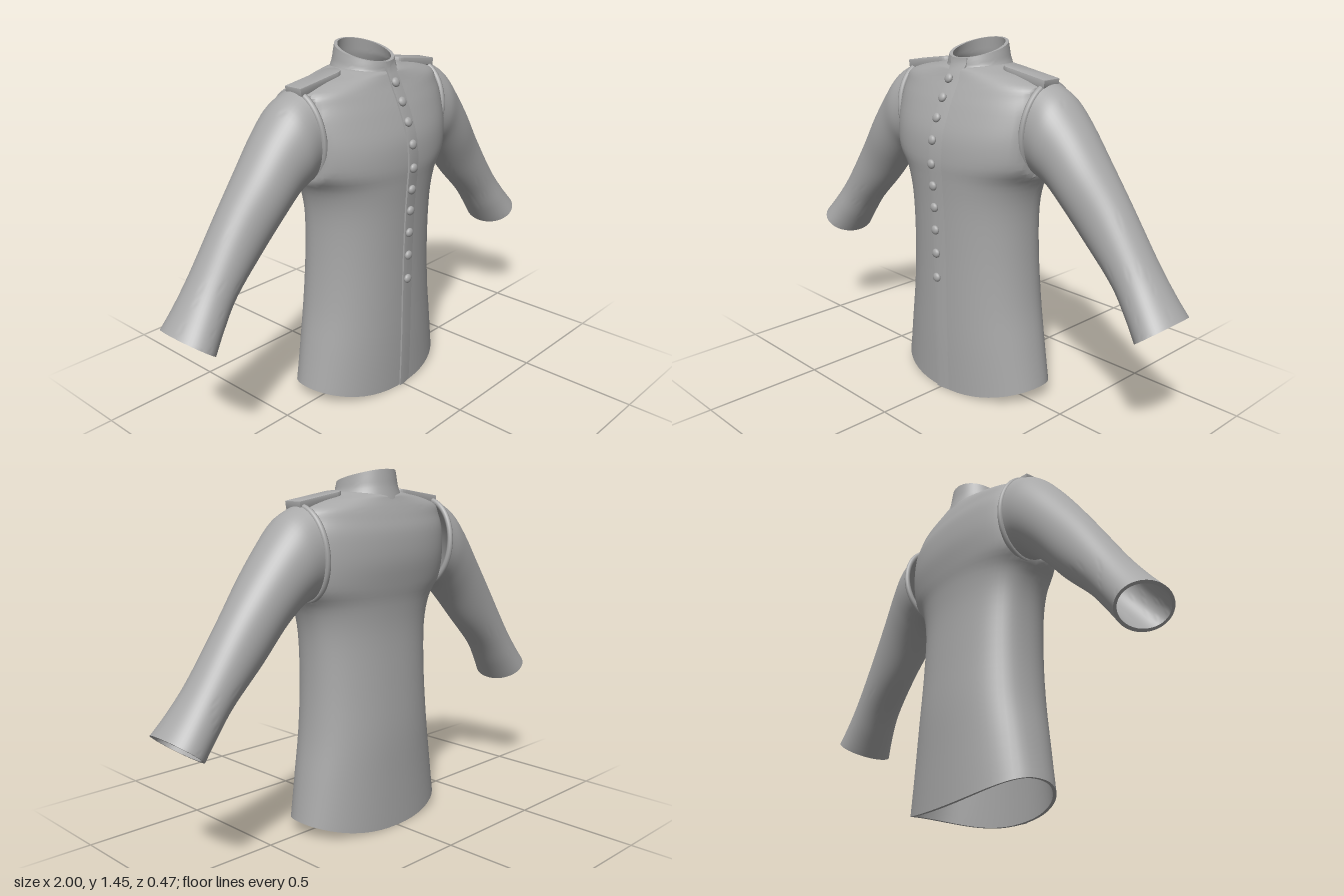
import * as THREE from 'three';
import { toCreasedNormals } from 'three/addons/utils/BufferGeometryUtils.js';

const cloth = new THREE.MeshStandardMaterial({ color: 0xa8a8a8 });
cloth.name = 'grey cloth';

const SEG = 56, ZC = -0.03, WALL = 0.013;
const power = (v, n) => Math.sign(v) * Math.abs(v) ** (2 / n);

// Smoothly resample a table of cross-section numbers, column by column
function dense(rows, steps) {
  const columns = rows[0].map((_, c) => new THREE.SplineCurve(rows.map((r, i) => new THREE.Vector2(i, r[c]))));
  return Array.from({ length: steps + 1 }, (_, i) => columns.map(curve => curve.getPoint(i / steps).y));
}

// Skin a list of closed rings of points
function loft(rings, crease = 0.7) {
  const n = rings[0].length, index = [];
  for (let i = 0; i < rings.length - 1; i++) {
    for (let k = 0; k < n; k++) {
      const a = i * n + k, b = i * n + (k + 1) % n;
      index.push(a, a + n, b, b, a + n, b + n);
    }
  }
  const geometry = new THREE.BufferGeometry().setFromPoints(rings.flat());
  geometry.setIndex(index);
  return toCreasedNormals(geometry.toNonIndexed(), crease);
}

// Rings for the outside, then back along the inside to give the cloth thickness
const shell = (rows, ring) => [
  ...rows.map(r => ring(r, 0)),
  ...[...rows].reverse().map(r => ring(r, WALL)),
  ring(rows[0], 0),
];
const around = fn => Array.from({ length: SEG }, (_, k) => {
  const t = k / SEG * Math.PI * 2;
  return fn(Math.cos(t), Math.sin(t));
});

// Torso: height, half width, front z, back z, lift at the sides
const body = dense([
  [0, 0.365, 0.19, -0.215, 0.06],
  [0.2, 0.335, 0.195, -0.215, 0.03],
  [0.4, 0.307, 0.197, -0.215, 0],
  [0.6, 0.292, 0.2, -0.205, 0],
  [0.8, 0.295, 0.207, -0.195, 0],
  [0.92, 0.325, 0.215, -0.2, 0],
  [1.0, 0.385, 0.22, -0.213, 0],
  [1.1, 0.4, 0.21, -0.225, 0],
  [1.2, 0.4, 0.175, -0.218, 0],
  [1.26, 0.385, 0.148, -0.2, 0],
  [1.3, 0.365, 0.128, -0.185, 0],
  [1.33, 0.27, 0.115, -0.172, 0],
  [1.345, 0.19, 0.108, -0.166, 0],
  [1.35, 0.13, 0.1, -0.16, 0.01],
], 52);
const bodyRing = ([y, w, zf, zb, lift], inset) => around((c, s) => {
  let x = power(c, 2.2) * (w - inset);
  const limit = 0.35 - inset;
  if (y > 0.9) x = THREE.MathUtils.clamp(x, -limit, limit);
  const depth = (s > 0 ? zf - ZC : ZC - zb) - inset;
  return new THREE.Vector3(x, y + lift * c * c, ZC + power(s, 2.2) * depth);
});

// Collar: height, half width, front z, back z, tilt down to the front
const collar = dense([
  [1.33, 0.145, 0.11, -0.172, 0],
  [1.365, 0.124, 0.1, -0.16, 0.012],
  [1.39, 0.117, 0.098, -0.155, 0.02],
  [1.416, 0.111, 0.095, -0.15, 0.03],
], 9);
const collarRing = ([y, w, zf, zb, tilt], inset) => around((c, s) => new THREE.Vector3(
  c * (w - inset), y - tilt * s, ZC + s * ((s > 0 ? zf - ZC : ZC - zb) - inset)));

// Sleeve: upper edge x y, lower edge x y, front z, back z
const sleeve = dense([
  [0.378, 1.314, 0.348, 0.955, 0.095, -0.18],
  [0.45, 1.275, 0.38, 0.945, 0.1, -0.18],
  [0.53, 1.19, 0.42, 0.92, 0.09, -0.172],
  [0.62, 1.075, 0.49, 0.855, 0.08, -0.16],
  [0.73, 0.925, 0.59, 0.745, 0.06, -0.15],
  [0.86, 0.735, 0.72, 0.62, 0.058, -0.145],
  [0.94, 0.63, 0.8, 0.52, 0.075, -0.15],
  [1.0, 0.56, 0.855, 0.445, 0.095, -0.158],
], 35);
const sleeveRing = side => ([ux, uy, lx, ly, zf, zb], inset) => {
  const dx = (ux - lx) / 2, dy = (uy - ly) / 2, shrink = 1 - inset / Math.hypot(dx, dy);
  return around((c, s) => new THREE.Vector3(
    side * ((ux + lx) / 2 + c * dx * shrink),
    (uy + ly) / 2 + c * dy * shrink,
    (zf + zb) / 2 - side * s * ((zf - zb) / 2 - inset)));
};

// Depth of the front surface at a given place
const frontRows = [...body.filter(r => r[0] < 1.34), [1.36, 0.124, 0.1], [1.4, 0.115, 0.096]];
function frontZ(x, y) {
  const i = Math.max(1, frontRows.findIndex(r => r[0] >= y));
  const [a, b] = [frontRows[i - 1], frontRows[i]];
  const t = (y - a[0]) / (b[0] - a[0]);
  const w = a[1] + (b[1] - a[1]) * t, zf = a[2] + (b[2] - a[2]) * t;
  return ZC + (zf - ZC) * (1 - Math.abs(x / w) ** 2.2) ** (1 / 2.2);
}

export function createModel() {
  const model = new THREE.Group();
  model.name = 'jacket';
  const add = (name, geometry) => {
    const mesh = new THREE.Mesh(geometry, cloth);
    mesh.name = name;
    model.add(mesh);
    return mesh;
  };

  add('torso', loft(shell(body, bodyRing)));
  add('collar', loft(shell(collar, collarRing)));

  // Overlapping front edge, fading into the cloth on the left
  const section = [[0.05, -0.01], [0.05, -0.001], [0, 0.007], [-0.02, 0.007], [-0.02, -0.01]];
  const STEPS = 60;
  add('frontPlacket', loft(Array.from({ length: STEPS + 3 }, (_, i) => {
    const y = 0.001 + 1.386 * THREE.MathUtils.clamp((i - 1) / STEPS, 0, 1);
    const end = i === 0 || i === STEPS + 2;
    return section.map(([x, out]) => new THREE.Vector3(x, y, frontZ(x, y) + (end ? -0.01 : out)));
  }), 0.5));

  // Row of domed buttons, each facing out along the chest
  for (const y of [1.31, 1.24, 1.165, 1.08, 0.985, 0.895, 0.805, 0.71, 0.61, 0.505]) {
    const button = add('button', new THREE.SphereGeometry(0.019, 16, 10));
    const slope = (frontZ(0, y + 0.02) - frontZ(0, y - 0.02)) / 0.04;
    button.scale.z = 0.65;
    button.rotation.x = Math.atan(slope);
    button.position.set(0, y, frontZ(0, y) + 0.012);
  }

  for (const side of [1, -1]) {
    const label = side > 0 ? 'left' : 'right';
    add(label + 'Sleeve', loft(shell(sleeve, sleeveRing(side))));

    // Raised seam around the armhole
    const seamPath = sleeveRing(side)(sleeve[0], 0.002);
    seamPath.forEach(p => { p.x -= side * 0.014; });
    add(label + 'ArmholeSeam', new THREE.TubeGeometry(
      new THREE.CatmullRomCurve3(seamPath, true), 72, 0.012, 8, true));

    // Shoulder strap with a rounded inner end
    const strap = new THREE.Shape();
    strap.moveTo(0.19, -0.038);
    strap.lineTo(0, -0.038);
    strap.absarc(0, 0, 0.038, -Math.PI / 2, Math.PI / 2, true);
    strap.lineTo(0.19, 0.038);
    const geometry = new THREE.ExtrudeGeometry(strap, {
      depth: 0.024, bevelEnabled: true, bevelThickness: 0.004, bevelSize: 0.003, bevelSegments: 2, curveSegments: 14,
    });
    geometry.rotateX(-Math.PI / 2).rotateZ(-0.15).translate(0.19, 1.333, -0.028);
    if (side < 0) geometry.rotateY(Math.PI).translate(0, 0, -0.056);
    add(label + 'ShoulderStrap', toCreasedNormals(geometry, 0.6));
  }
  return model;
}
